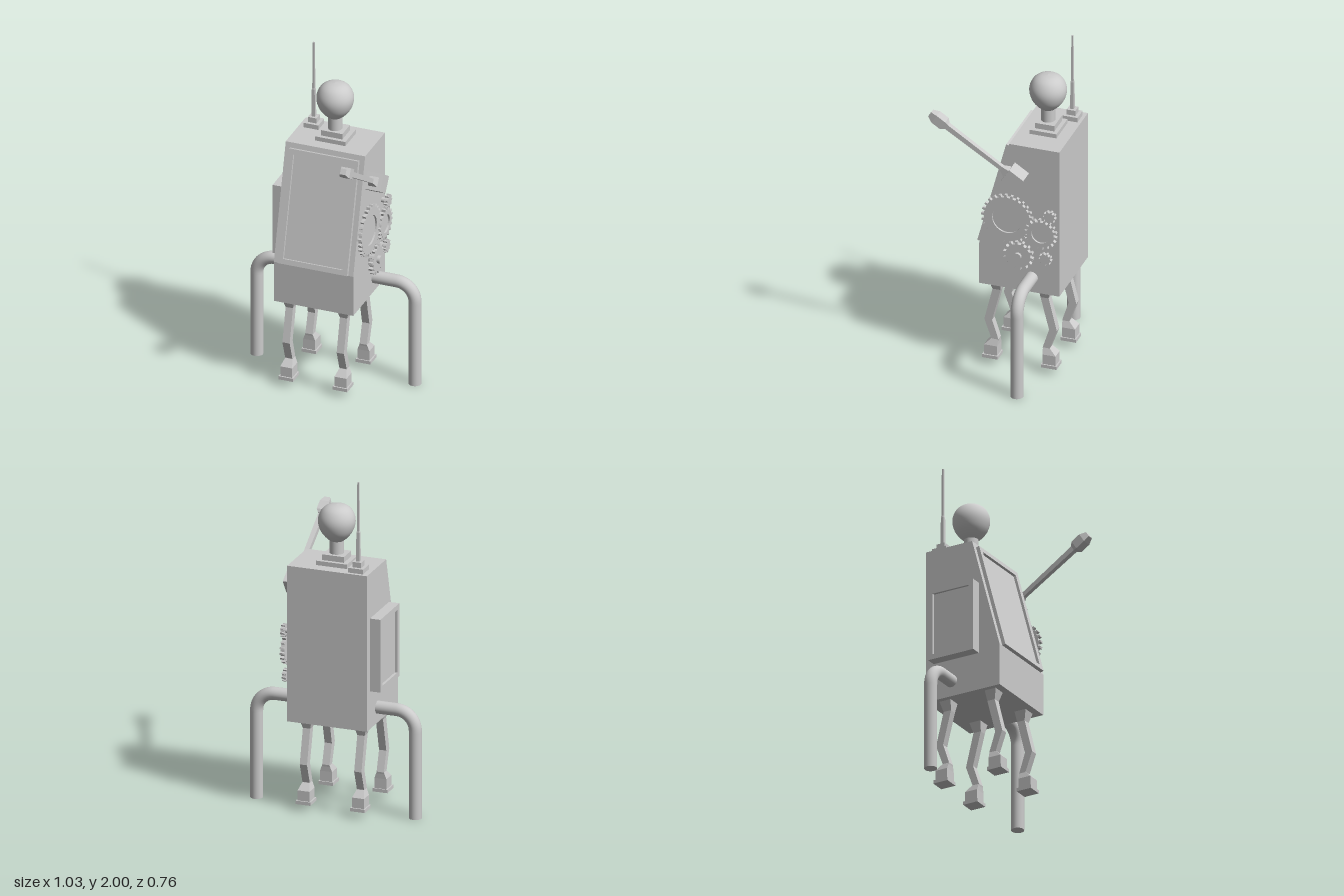
import * as THREE from 'three';

const grey = new THREE.MeshStandardMaterial({ color: 0xcccccc });
const flat = new THREE.MeshStandardMaterial({ color: 0xcccccc, flatShading: true });

function add(parent, name, geometry, x = 0, y = 0, z = 0, material = flat) {
  const mesh = new THREE.Mesh(geometry, material);
  mesh.name = name;
  mesh.position.set(x, y, z);
  parent.add(mesh);
  return mesh;
}

// Box standing on the given height
function block(parent, name, w, h, d, x, y, z) {
  return add(parent, name, new THREE.BoxGeometry(w, h, d), x, y + h / 2, z);
}

// Rectangular loft along y; each section is [y, centreZ, halfWidth, halfDepth]
function loft(sections) {
  const corners = [[-1, -1], [1, -1], [1, 1], [-1, 1]];
  const rings = sections.map(([y, z, w, d]) => corners.map(([a, b]) => [a * w, y, z + b * d]));
  const p = [];
  const quad = (a, b, c, d) => p.push(...a, ...b, ...c, ...a, ...c, ...d);
  for (let i = 0; i < rings.length - 1; i++) {
    for (let k = 0; k < 4; k++) {
      const n = (k + 1) % 4;
      quad(rings[i][k], rings[i + 1][k], rings[i + 1][n], rings[i][n]);
    }
  }
  const b = rings[0], t = rings[rings.length - 1];
  quad(b[0], b[1], b[2], b[3]);
  quad(t[0], t[3], t[2], t[1]);
  const g = new THREE.BufferGeometry();
  g.setAttribute('position', new THREE.Float32BufferAttribute(p, 3));
  g.computeVertexNormals();
  return g;
}

function rect(path, w, h) {
  path.moveTo(-w / 2, -h / 2);
  path.lineTo(w / 2, -h / 2);
  path.lineTo(w / 2, h / 2);
  path.lineTo(-w / 2, h / 2);
  path.closePath();
  return path;
}

// Raised frame around a recessed plate, facing local +z
function framedPanel(name, w, h, depth, border, plateDepth) {
  const g = new THREE.Group();
  g.name = name;
  const shape = rect(new THREE.Shape(), w, h);
  shape.holes.push(rect(new THREE.Path(), w - 2 * border, h - 2 * border));
  add(g, name + 'Frame', new THREE.ExtrudeGeometry(shape, { depth, bevelEnabled: false }));
  add(g, name + 'Plate', new THREE.BoxGeometry(w - 2 * border, h - 2 * border, plateDepth), 0, 0, plateDepth / 2);
  return g;
}

// Toothed wheel facing +x, with an optional recessed face
function gear(parent, name, x, y, z, r, teeth, thick, holeR) {
  const g = new THREE.Group();
  g.name = name;
  const tooth = Math.min(0.016, r * 0.22);
  const shape = new THREE.Shape();
  for (let i = 0; i < teeth; i++) {
    [[0, r - tooth], [0.5, r - tooth], [0.58, r], [0.92, r]].forEach(([f, q], k) => {
      const a = (i + f) / teeth * Math.PI * 2;
      shape[i + k ? 'lineTo' : 'moveTo'](Math.cos(a) * q, Math.sin(a) * q);
    });
  }
  shape.closePath();
  if (holeR) {
    shape.holes.push(new THREE.Path().absarc(0, 0, holeR, 0, Math.PI * 2, true));
    const disc = new THREE.CylinderGeometry(holeR, holeR, thick * 0.4, 32).rotateX(Math.PI / 2);
    add(g, name + 'Disc', disc, 0, 0, thick * 0.3, grey);
  }
  add(g, name + 'Rim', new THREE.ExtrudeGeometry(shape, { depth: thick, bevelEnabled: false, curveSegments: 16 }));
  const len = x - 0.22;
  add(g, name + 'Axle', new THREE.CylinderGeometry(0.015, 0.015, len, 16).rotateX(Math.PI / 2), 0, 0, -len / 2, grey);
  g.rotation.y = Math.PI / 2;
  g.position.set(x, y, z);
  parent.add(g);
}

export function createModel() {
  const model = new THREE.Group();
  model.name = 'walkingMachine';

  // Cabinet: side profile with sloping front, extruded across
  const side = new THREE.Shape([[-0.1, 0.54], [0.38, 0.54], [0.38, 1.47], [0.08, 1.47], [-0.1, 0.79]]
    .map(([x, y]) => new THREE.Vector2(x, y)));
  const body = add(model, 'cabinet', new THREE.ExtrudeGeometry(side, { depth: 0.48, bevelEnabled: false }), -0.25);
  body.rotation.y = Math.PI / 2;

  // Front screen on the slope and box on the right side
  const screen = framedPanel('screen', 0.42, 0.67, 0.021, 0.03, 0.006);
  screen.position.set(-0.01, 1.116, 0.0137);
  screen.rotation.x = -0.259;
  model.add(screen);
  const sideBox = framedPanel('sideBox', 0.295, 0.435, 0.062, 0.03, 0.047);
  sideBox.position.set(-0.25, 0.983, -0.183);
  sideBox.rotation.y = -Math.PI / 2;
  model.add(sideBox);

  // Bulb on a stepped base
  block(model, 'bulbBase', 0.185, 0.028, 0.16, -0.01, 1.468, -0.23);
  block(model, 'bulbBaseStep', 0.13, 0.034, 0.115, -0.01, 1.496, -0.23);
  add(model, 'bulbNeck', new THREE.CylinderGeometry(0.041, 0.041, 0.09, 32), -0.01, 1.57, -0.228, grey);
  const bulb = new THREE.SplineCurve([[0.041, 1.605], [0.066, 1.628], [0.092, 1.664], [0.106, 1.71],
    [0.102, 1.752], [0.08, 1.791], [0.045, 1.813], [0, 1.82]].map(([x, y]) => new THREE.Vector2(x, y)));
  const bulbPoints = bulb.getPoints(28);
  bulbPoints[28].x = 0;
  add(model, 'bulb', new THREE.LatheGeometry(bulbPoints, 40), -0.01, 0, -0.228, grey);

  // Antenna
  block(model, 'antennaBase', 0.09, 0.03, 0.09, -0.174, 1.468, -0.315);
  block(model, 'antennaBaseStep', 0.052, 0.032, 0.052, -0.174, 1.498, -0.315);
  add(model, 'antennaRod', loft([[1.52, 0, 0.011, 0.011], [1.7, 0, 0.009, 0.009], [1.71, 0, 0.007, 0.007],
    [2, 0, 0.005, 0.005]]), -0.174, 0, -0.315);

  // Side pipe bending down to the ground at both ends
  const v = (x, y) => new THREE.Vector3(x, y, -0.215);
  const X = 0.478, Y = 0.633, R = 0.11, K = R * 0.448;
  const path = new THREE.CurvePath();
  path.add(new THREE.LineCurve3(v(-X, 0), v(-X, Y - R)));
  path.add(new THREE.CubicBezierCurve3(v(-X, Y - R), v(-X, Y - K), v(-X + K, Y), v(-X + R, Y)));
  path.add(new THREE.LineCurve3(v(-X + R, Y), v(X - R, Y)));
  path.add(new THREE.CubicBezierCurve3(v(X - R, Y), v(X - K, Y), v(X, Y - K), v(X, Y - R)));
  path.add(new THREE.LineCurve3(v(X, Y - R), v(X, 0)));
  add(model, 'supportPipe', new THREE.TubeGeometry(path, 120, 0.037, 24), 0, 0, 0, grey);
  for (const s of [-1, 1]) {
    add(model, 'pipeEnd', new THREE.CircleGeometry(0.037, 24).rotateX(Math.PI / 2), s * X, 0, -0.215);
  }

  // Four jointed legs, back pair mirrored from the front pair
  for (const x of [-0.181, 0.147]) {
    for (const s of [1, -1]) {
      const leg = new THREE.Group();
      leg.name = s > 0 ? 'frontLeg' : 'backLeg';
      leg.position.set(x, 0, -0.127);
      add(leg, 'shin', loft([[0.13, 0.157, 0.022, 0.021], [0.16, 0.153, 0.022, 0.021], [0.278, 0.193, 0.022, 0.023],
        [0.48, 0.143, 0.022, 0.024], [0.545, 0.148, 0.04, 0.037]].map(([y, z, w, d]) => [y, s * z, w, d])));
      add(leg, 'foot', loft([[0.058, 0.174, 0.036, 0.039], [0.12, 0.174, 0.036, 0.039], [0.158, 0.154, 0.022, 0.021]]
        .map(([y, z, w, d]) => [y, s * z, w, d])));
      block(leg, 'sole', 0.088, 0.02, 0.093, 0, 0.04, s * 0.175);
      model.add(leg);
    }
  }

  // Lever on the left side, raised forward
  const lever = new THREE.Group();
  lever.name = 'lever';
  lever.position.set(0.277, 1.288, -0.13);
  lever.rotation.x = 1.0;
  add(lever, 'leverBlock', new THREE.BoxGeometry(0.1, 0.1, 0.1));
  add(lever, 'leverRod', loft([[0.045, 0, 0.03, 0.03], [0.09, 0, 0.013, 0.013], [0.5, 0, 0.016, 0.016]]));
  add(lever, 'leverKnob', loft([[0.478, 0, 0.017, 0.017], [0.498, 0, 0.029, 0.029], [0.558, 0, 0.029, 0.029],
    [0.595, 0, 0.017, 0.017]]));
  model.add(lever);

  // Gear train on the left side
  gear(model, 'largeGear', 0.246, 1.003, -0.08, 0.154, 26, 0.02, 0.088);
  gear(model, 'middleGear', 0.254, 0.945, -0.283, 0.096, 18, 0.023, 0.054);
  gear(model, 'lowerGear', 0.256, 0.787, -0.15, 0.09, 14, 0.025, 0);
  gear(model, 'upperSmallGear', 0.254, 1.065, -0.335, 0.039, 9, 0.023, 0);
  gear(model, 'lowerSmallGear', 0.254, 0.79, -0.31, 0.039, 9, 0.023, 0);
  add(model, 'gearHub', new THREE.CylinderGeometry(0.023, 0.023, 0.07, 24).rotateZ(Math.PI / 2), 0.263, 0.787, -0.15, grey);

  return model;
}
